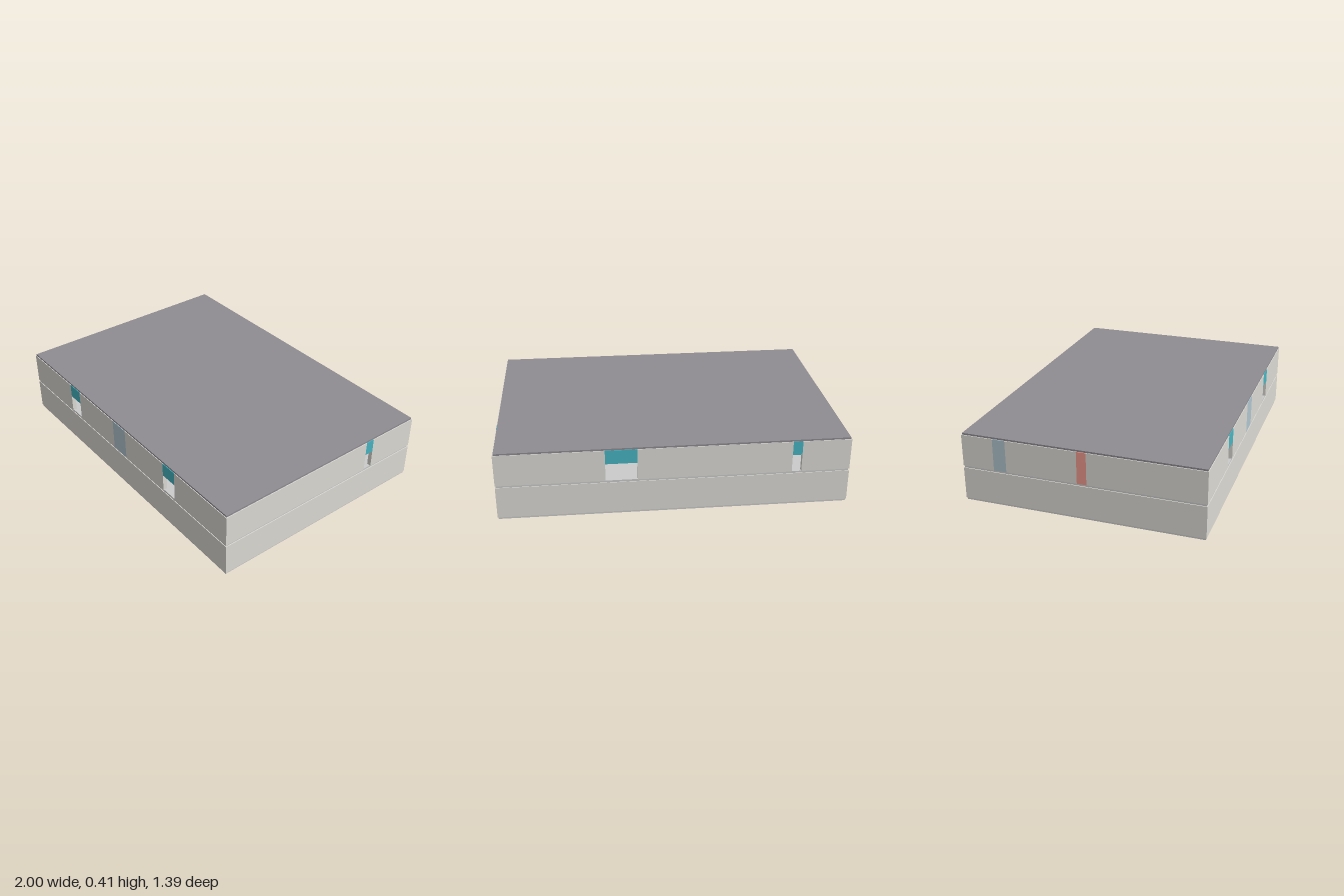
import * as THREE from 'three';

const W = 1.0, D = 0.697, T = 0.025; // half width, half depth, wall thickness
const mat = (color) => new THREE.MeshStandardMaterial({ color });

export function createModel() {
  const model = new THREE.Group();
  const wallMat = mat(0xdcdad4), floorMat = mat(0xcccccc), roofMat = mat(0x8f8c92);
  const lintelMat = mat(0x47b4c2), glassMat = mat(0xb0c6d0), redMat = mat(0xee9a8e);
  const furnitureMat = mat(0x989990);

  // Box given by its minimum and maximum corners
  function box(name, material, x0, x1, y0, y1, z0, z1, parent = model) {
    const mesh = new THREE.Mesh(new THREE.BoxGeometry(x1 - x0, y1 - y0, z1 - z0), material);
    mesh.position.set((x0 + x1) / 2, (y0 + y1) / 2, (z0 + z1) / 2);
    mesh.name = name;
    parent.add(mesh);
  }

  // Straight wall on one side, split by gaps [start, end, kind] in ascending order
  function wall(name, alongX, sign, y0, y1, gaps = []) {
    const group = new THREE.Group();
    group.name = name;
    model.add(group);
    const outer = alongX ? D : W;
    const end = alongX ? W : D - T;
    const n0 = sign > 0 ? outer - T : -outer;
    const piece = (label, material, a, b, lo, hi) => alongX
      ? box(label, material, a, b, lo, hi, n0, n0 + T, group)
      : box(label, material, n0, n0 + T, lo, hi, a, b, group);
    let at = -end;
    for (const [a, b, kind] of gaps) {
      piece('wallPanel', wallMat, at, a, y0, y1);
      if (kind === 'opening') piece('lintel', lintelMat, a, b, y0 + 0.105, y1);
      else piece(kind, kind === 'redPanel' ? redMat : glassMat, a, b, y0, y1);
      at = b;
    }
    piece('wallPanel', wallMat, at, end, y0, y1);
  }

  // Floor and roof slabs, slightly inset from the walls
  const slab = (name, material, y0, y1) =>
    box(name, material, -W + 0.005, W - 0.005, y0, y1, -D + 0.004, D - 0.004);
  slab('groundSlab', floorMat, 0, 0.012);
  slab('upperFloorSlab', floorMat, 0.2, 0.212);
  slab('roofSlab', roofMat, 0.4, 0.41);

  // Lower storey: closed walls
  for (const s of [1, -1]) {
    wall(s > 0 ? 'lowerFrontWall' : 'lowerBackWall', true, s, 0.012, 0.2);
    wall(s > 0 ? 'lowerLeftWall' : 'lowerRightWall', false, s, 0.012, 0.2);
  }

  // Upper storey: openings with lintels, and full-height panes
  wall('upperFrontWall', true, 1, 0.212, 0.4,
    [[-0.55, -0.445, 'opening'], [-0.065, 0.062, 'glassPane'], [0.44, 0.547, 'opening']]);
  wall('upperBackWall', true, -1, 0.212, 0.4,
    [[-0.72, -0.665, 'opening'], [0.21, 0.39, 'opening']]);
  wall('upperLeftWall', false, 1, 0.212, 0.4, [[-0.373, -0.318, 'opening']]);
  wall('upperRightWall', false, -1, 0.212, 0.4,
    [[-0.51, -0.435, 'glassPane'], [-0.02, 0.035, 'redPanel']]);

  // Low furniture blocks inside the upper storey
  box('furnitureBlock', furnitureMat, -0.7, -0.485, 0.212, 0.28, -0.1, 0.2);
  box('furnitureBlock', furnitureMat, 0.46, 0.7, 0.212, 0.28, -0.1, 0.2);

  return model;
}
